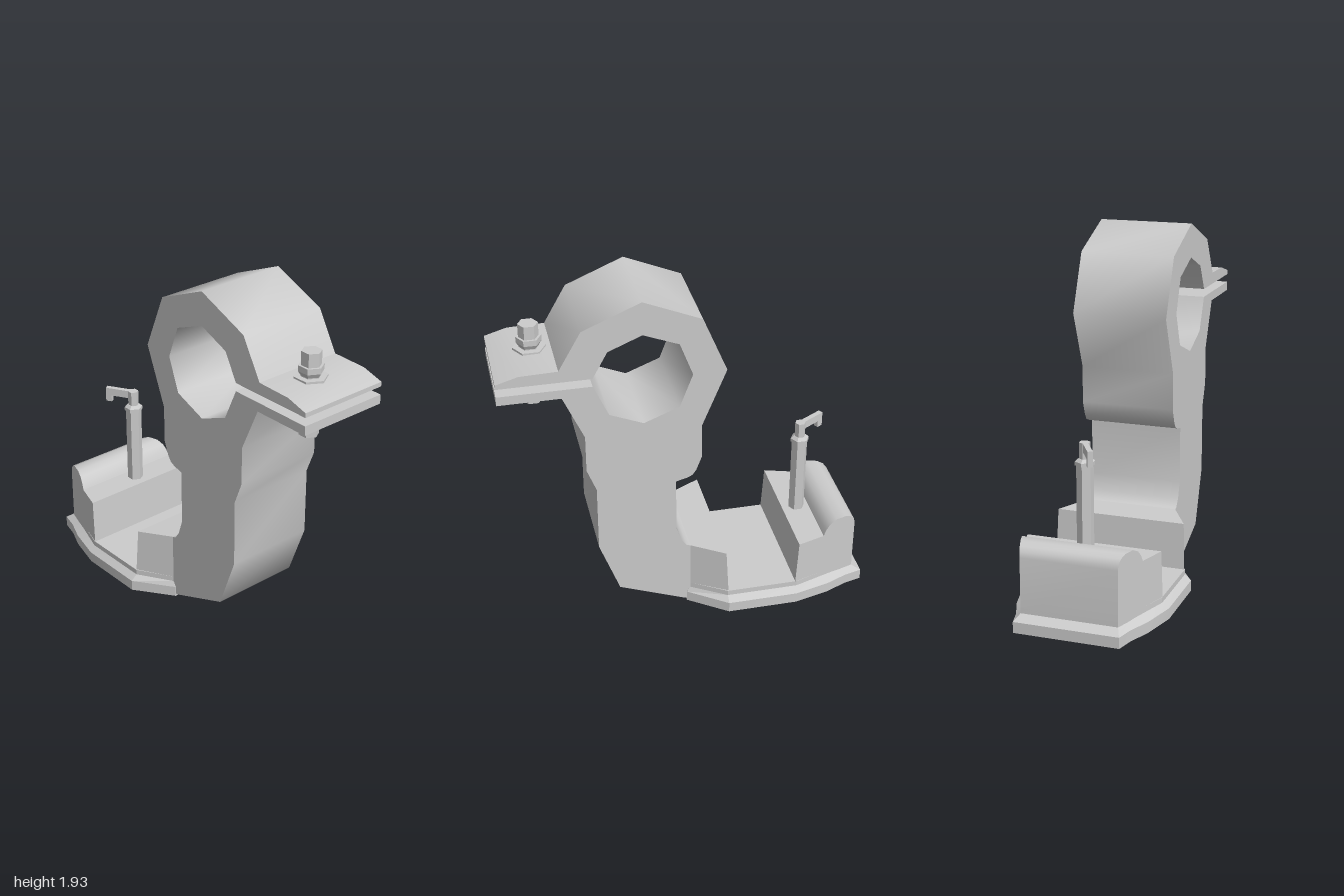
import * as THREE from 'three';
import { toCreasedNormals } from 'three/addons/utils/BufferGeometryUtils.js';

const material = new THREE.MeshStandardMaterial({ color: 0xcccccc });
const flat = new THREE.MeshStandardMaterial({ color: 0xcccccc, flatShading: true });

function add(parent, name, geometry, mat = material) {
  const mesh = new THREE.Mesh(geometry, mat);
  mesh.name = name;
  parent.add(mesh);
  return mesh;
}

// Side profile of [z, y] points, spread along x to a half width that depends on z
function spreadProfile(points, halfWidth) {
  const shape = new THREE.Shape(points.map(([z, y]) => new THREE.Vector2(z, y)));
  const geo = new THREE.ExtrudeGeometry(shape, { depth: 2, bevelEnabled: false });
  geo.translate(0, 0, -1).rotateY(-Math.PI / 2);
  const p = geo.attributes.position;
  for (let i = 0; i < p.count; i++) p.setX(i, Math.sign(p.getX(i)) * halfWidth(p.getZ(i)));
  return toCreasedNormals(geo, 0.85);
}

// Solid from stacked mirrored outlines of [halfWidth, z] points at given heights
function stackedSolid(layers) {
  const pos = [], index = [];
  const loops = layers.map(([y, half]) => {
    const right = half.map(([x, z]) => [x, y, z]);
    const left = half.map(([x, z]) => [-x, y, z]).reverse();
    return [...right, ...left];
  });
  const n = loops[0].length, last = (loops.length - 1) * n;
  loops.flat().forEach((v) => pos.push(...v));
  for (let l = 0; l < loops.length - 1; l++) {
    for (let i = 0; i < n; i++) {
      const a = l * n + i, b = l * n + (i + 1) % n;
      index.push(a, b, b + n, a, b + n, a + n);
    }
  }
  for (let i = 1; i < n - 1; i++) {
    index.push(0, i + 1, i, last, last + i, last + i + 1);
  }
  const geo = new THREE.BufferGeometry();
  geo.setAttribute('position', new THREE.Float32BufferAttribute(pos, 3));
  geo.setIndex(index);
  return toCreasedNormals(geo, 0.3);
}

// Upright hexagonal section from y0 to y1
function hex(parent, name, r0, r1, y0, y1) {
  const mesh = add(parent, name, new THREE.CylinderGeometry(r1, r0, y1 - y0, 6), flat);
  mesh.position.y = (y0 + y1) / 2;
  return mesh;
}

export function createModel() {
  const model = new THREE.Group();
  model.name = 'pipeClamp';

  // Arm with split octagonal ring and two clamping ears
  add(model, 'clampArm', spreadProfile([
    [1, 1.55], [0.88, 1.585], [0.68, 1.59], [0.56, 1.8], [0.25, 1.93], [-0.06, 1.8],
    [-0.19, 1.49], [-0.06, 1.17], [-0.06, 0.97], [-0.03, 0.89], [-0.01, 0.86], [0.02, 0.845],
    [0.08, 0.83], [0.08, 0.52], [0.05, 0.43], [0.02, 0.39], [0, 0.385], [0, 0.015],
    [0.03, 0.015], [0.4, 0.16], [0.51, 0.46], [0.51, 0.84], [0.56, 0.97], [0.56, 1.18],
    [0.67, 1.43], [1, 1.43], [1, 1.48], [0.51, 1.48], [0.43, 1.3], [0.25, 1.225],
    [0.06, 1.3], [-0.01, 1.485], [0.06, 1.67], [0.25, 1.745], [0.43, 1.67], [0.51, 1.525],
    [1, 1.525],
  ], () => 0.258));

  // Foot plate with a sloped lip
  const foot = [[0.26, 0.02], [0.41, -0.19], [0.41, -0.58], [0.36, -0.78], [0.31, -0.9], [0.285, -1]];
  const inset = [[0.258, 0], [0.375, -0.19], [0.375, -0.59], [0.32, -0.76], [0.285, -0.87], [0.262, -0.95]];
  add(model, 'footPlate', stackedSolid([[0, foot], [0.06, foot], [0.09, inset], [0.12, inset]]));

  // Front jaw flares from the arm to the slot
  add(model, 'frontJaw', spreadProfile(
    [[0, 0.385], [-0.18, 0.376], [-0.195, 0.1], [0, 0.1]],
    (z) => 0.258 - z * 0.58));

  // Rear jaw with rounded ridge, narrowing to the back
  add(model, 'rearJaw', spreadProfile([
    [-0.58, 0.1], [-0.595, 0.375], [-0.75, 0.375], [-0.765, 0.41], [-0.79, 0.44], [-0.83, 0.46],
    [-0.89, 0.46], [-0.925, 0.445], [-0.945, 0.42], [-0.95, 0.39], [-0.95, 0.085],
  ], (z) => 0.372 + (z + 0.59) * 0.305));

  // Bolt through the ears
  const bolt = new THREE.Group();
  bolt.name = 'earBolt';
  bolt.position.set(-0.02, 0, 0.79);
  model.add(bolt);
  hex(bolt, 'boltShank', 0.053, 0.053, 1.275, 1.73);
  hex(bolt, 'boltWasher', 0.088, 0.088, 1.583, 1.597);
  hex(bolt, 'upperNutBase', 0.05, 0.067, 1.597, 1.625);
  hex(bolt, 'upperNut', 0.067, 0.067, 1.625, 1.656);
  hex(bolt, 'lowerNut', 0.074, 0.074, 1.383, 1.432);
  hex(bolt, 'lowerNutChamfer', 0.064, 0.074, 1.373, 1.383);

  // Locking pin with a hooked handle
  const pin = new THREE.Group();
  pin.name = 'lockingPin';
  pin.position.set(0.01, 0, -0.68);
  model.add(pin);
  hex(pin, 'pinRod', 0.045, 0.045, 0.36, 0.83);
  hex(pin, 'pinCollar', 0.052, 0.052, 0.825, 0.845);
  hex(pin, 'pinCollarTop', 0.052, 0.035, 0.845, 0.86);
  hex(pin, 'pinPost', 0.03, 0.03, 0.86, 0.945);
  const handle = new THREE.Group();
  handle.name = 'pinHandle';
  handle.rotation.y = Math.atan2(0.085, 0.145);
  pin.add(handle);
  add(handle, 'handleBar', new THREE.BoxGeometry(0.028, 0.045, 0.165)).position.set(0, 0.9225, -0.0825);
  add(handle, 'handleHook', new THREE.BoxGeometry(0.028, 0.04, 0.035)).position.set(0, 0.882, -0.1475);

  return model;
}
